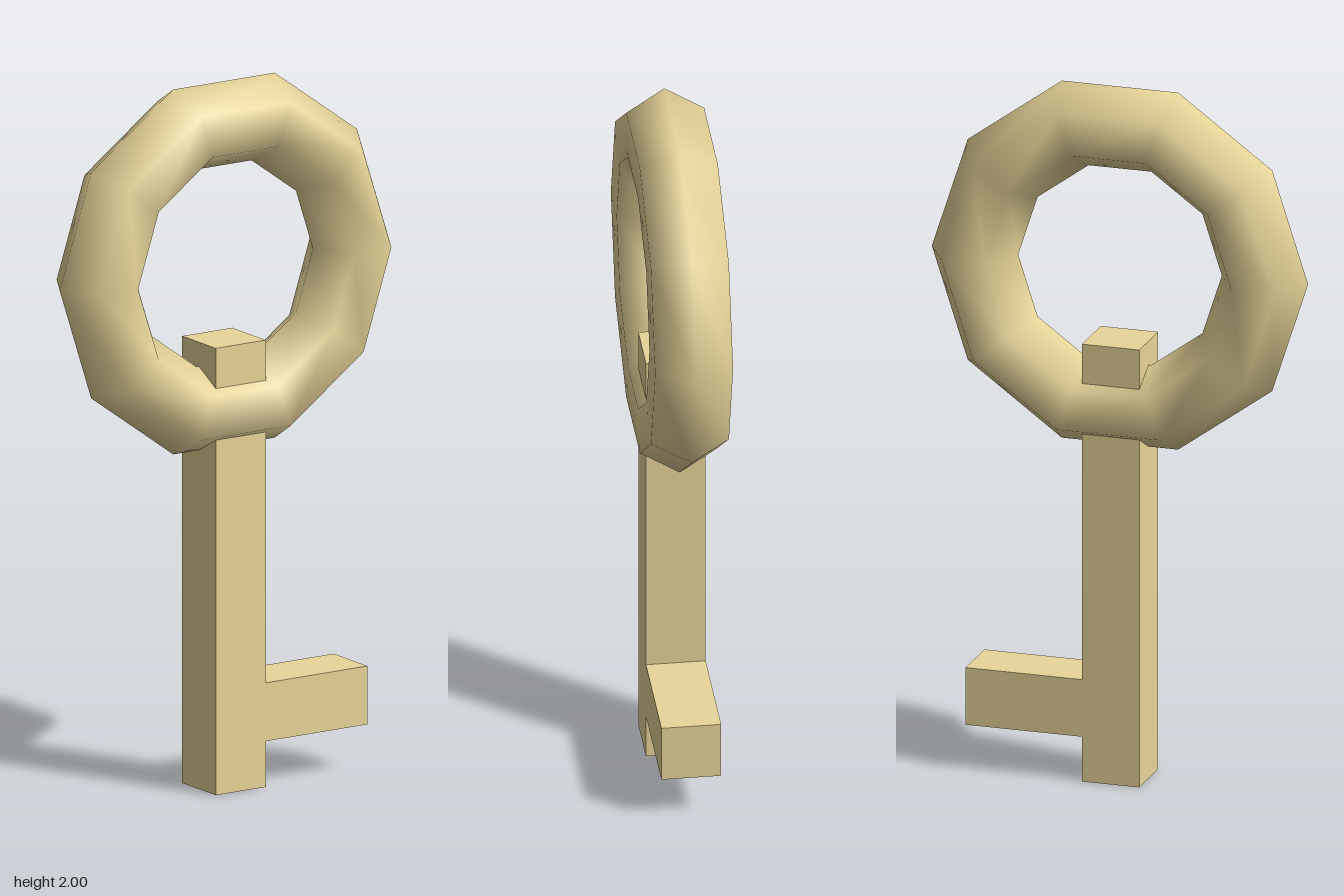
import * as THREE from 'three';

export function createModel() {
  const key = new THREE.Group();
  key.name = 'key';
  const material = new THREE.MeshStandardMaterial({ color: 0xe8d699 });
  const thickness = 0.166;

  function add(name, geometry, x, y) {
    const mesh = new THREE.Mesh(geometry, material);
    mesh.name = name;
    mesh.position.set(x, y, 0);
    key.add(mesh);
  }

  // Ring handle: six-sided tube bent into a ten-sided loop, smooth shaded
  const ringRadius = 0.42, tubeRadius = 0.125;
  const ringY = 2 - (ringRadius + tubeRadius) * Math.sin(Math.PI * 0.4);
  add('ringHandle', new THREE.TorusGeometry(ringRadius, tubeRadius, 6, 10), 0, ringY);

  // Square shaft, its top end poking through the ring
  const shaftHeight = 1.27;
  add('shaft', new THREE.BoxGeometry(thickness, shaftHeight, thickness), 0, shaftHeight / 2);

  // Single tooth on the left side of the shaft
  const toothStart = thickness / 2, toothEnd = 0.42;
  add('tooth', new THREE.BoxGeometry(toothEnd - toothStart, thickness, thickness),
    (toothStart + toothEnd) / 2, 0.213);

  return key;
}
